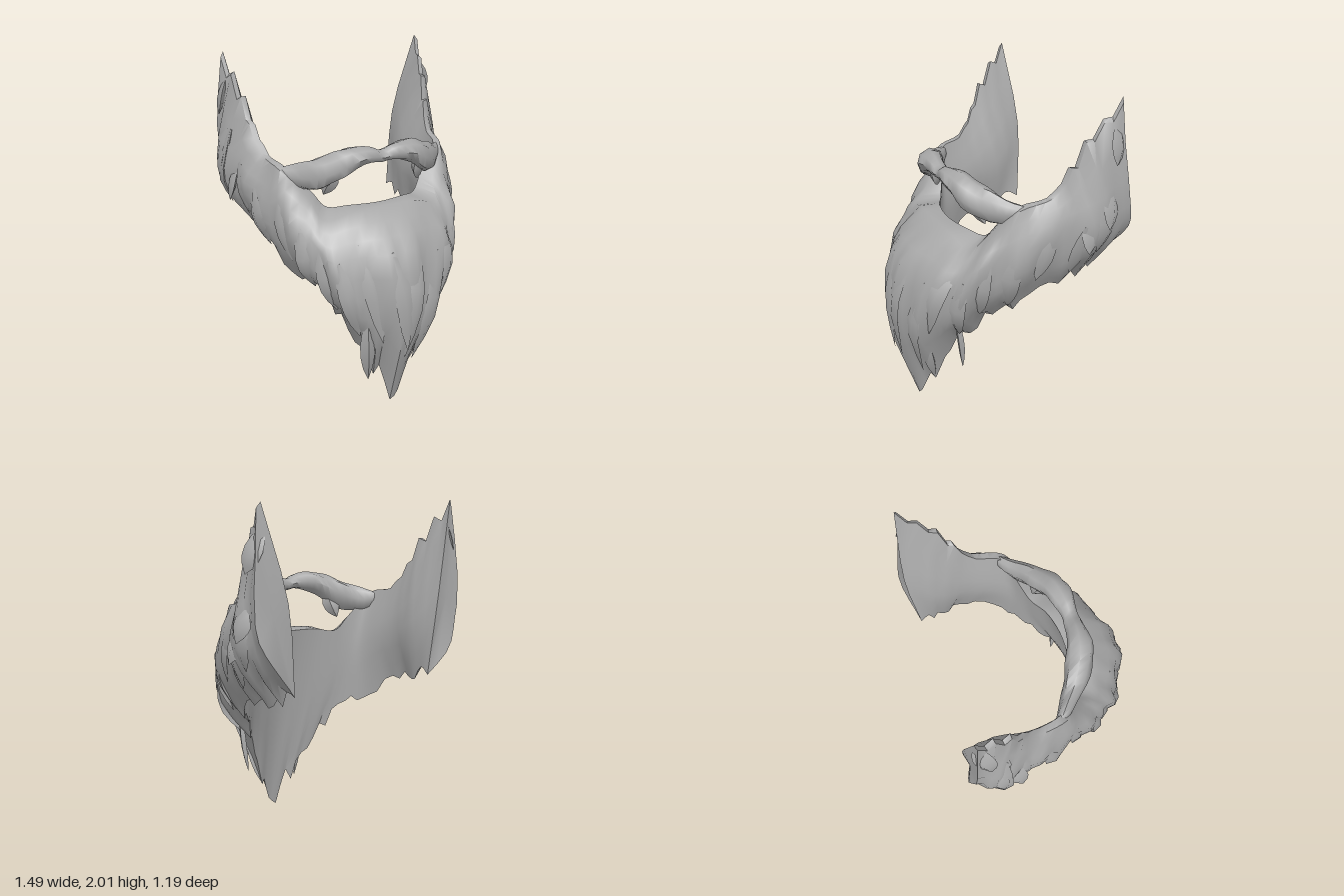
import * as THREE from 'three';
import { toCreasedNormals } from 'three/addons/utils/BufferGeometryUtils.js';

const V = (x, y, z) => new THREE.Vector3(x, y, z);
const hair = new THREE.MeshStandardMaterial({ color: 0xa8a8a8 });
hair.name = 'greyHair';

// Cross-sections from the chin to the ear, six points each:
// inner lip, outer lip, bulge, lower side, tip, inner wall
const stations = [
  [0, 1.2, .2, 0, 1.21, .29, 0, 1.01, .52, 0, .6, .58, 0, .01, .42, 0, .7, .3],
  [.18, 1.2, .17, .2, 1.2, .28, .23, 1.0, .46, .19, .6, .51, .12, .2, .35, .17, .75, .24],
  [.29, 1.19, .11, .36, 1.16, .24, .39, .98, .37, .34, .7, .39, .25, .5, .25, .29, .85, .15],
  [.36, 1.28, .07, .41, 1.27, .13, .48, 1.1, .25, .45, .85, .24, .36, .7, .1, .37, 1.0, .07],
  [.49, 1.43, 0, .53, 1.42, .02, .58, 1.2, .06, .56, 1.0, .05, .47, .8, -.03, .43, 1.1, 0],
  [.53, 1.47, -.15, .57, 1.48, -.17, .66, 1.32, -.2, .63, 1.1, -.22, .53, .93, -.26, .47, 1.2, -.2],
  [.58, 1.73, -.3, .61, 1.73, -.3, .72, 1.36, -.4, .66, 1.15, -.42, .5, .96, -.42, .46, 1.3, -.4],
  [.64, 2, -.5, .66, 1.97, -.49, .7, 1.4, -.55, .62, 1.2, -.58, .47, 1.04, -.54, .52, 1.5, -.56],
];

function seeded(seed) {
  return () => {
    seed = (seed * 16807) % 2147483647;
    return seed / 2147483647;
  };
}

// Closed skin over a row of rings, capped at both ends
function loft(rings, crease) {
  const n = rings[0].length, pts = rings.flat(), idx = [];
  rings.forEach((ring, i) => {
    if (i === rings.length - 1) return;
    for (let j = 0; j < n; j++) {
      const a = i * n + j, b = i * n + (j + 1) % n;
      idx.push(a, b, a + n, b, b + n, a + n);
    }
  });
  const cap = (start, flip) => {
    const mid = V(0, 0, 0);
    for (let j = 0; j < n; j++) mid.addScaledVector(pts[start + j], 1 / n);
    const c = pts.push(mid) - 1;
    for (let j = 0; j < n; j++) {
      const a = start + j, b = start + (j + 1) % n;
      if (flip) idx.push(c, b, a); else idx.push(c, a, b);
    }
  };
  cap(0, true);
  cap((rings.length - 1) * n, false);
  // Turn the skin outwards if its enclosed volume is negative
  let volume = 0;
  for (let k = 0; k < idx.length; k += 3)
    volume += pts[idx[k]].dot(pts[idx[k + 1]].clone().cross(pts[idx[k + 2]]));
  if (volume < 0) idx.reverse();
  const geo = new THREE.BufferGeometry().setFromPoints(pts);
  geo.setIndex(idx);
  return toCreasedNormals(geo, crease);
}

// Six rails running from the right ear round the chin to the left ear
const rails = [0, 1, 2, 3, 4, 5].map(k => {
  const half = stations.map(s => V(s[k * 3], s[k * 3 + 1], s[k * 3 + 2]));
  const mirrored = half.slice(1).reverse().map(p => V(-p.x, p.y, p.z));
  return new THREE.CatmullRomCurve3([...mirrored, ...half]);
});
const outward = p => V(p.x, 0, p.z + .25).normalize();

// Point on the hairy outside: t from ear to ear, v from lip to tip
function outside(t, v) {
  const c = new THREE.CatmullRomCurve3(rails.slice(1, 5).map(r => r.getPoint(t)));
  const p = c.getPoint(v);
  const sweep = v * 5 * Math.sign(t - .5);
  const ridge = .016 * Math.sin(t * 62 + sweep) + .01 * Math.sin(t * 117 - sweep * 1.4 + 1);
  return p.addScaledVector(outward(p), ridge * Math.sin(Math.PI * v));
}

function beardGeometry() {
  const rand = seeded(41), rings = [], N = 60, M = 9;
  for (let i = 0; i <= N; i++) {
    const t = i / N, side = Math.abs(t - .5) * 2;
    // Uneven bottom edge, with a clear notch on each side of the chin point
    const notch = Math.abs(side - .1) < .02 ? .1 : 0;
    const fray = i === N / 2 ? 0 : notch + .09 * rand() - .04;
    const lipFray = side > .72 && side < .99 ? (i % 2 ? -.06 : .03) * rand() : 0;
    const ring = [rails[0].getPoint(t)];
    ring[0].y += lipFray;
    for (let j = 0; j <= M; j++) {
      const p = outside(t, j / M);
      p.y += fray * Math.max(0, j / M - .6) / .4 + (j < 2 ? lipFray : 0);
      ring.push(p);
    }
    const inner = new THREE.CatmullRomCurve3([ring[M + 1], rails[5].getPoint(t), ring[0]]);
    for (let j = 1; j < 6; j++) ring.push(inner.getPoint(j / 6));
    rings.push(ring);
  }
  return loft(rings, 1);
}

// Tapered lock of hair along a few points
function lock(points, width, depth) {
  const curve = new THREE.CatmullRomCurve3(points), rings = [];
  for (let i = 0; i <= 5; i++) {
    const p = curve.getPoint(i / 5), out = outward(p);
    const side = curve.getTangent(i / 5).cross(out).normalize();
    const s = i === 5 ? .03 : Math.sin(Math.PI * (.1 + .85 * i / 5));
    rings.push([[1, 0], [0, 1], [-1, 0], [0, -1]].map(([a, b]) =>
      p.clone().addScaledVector(side, a * width * s).addScaledVector(out, b * depth * s)));
  }
  return loft(rings, 1);
}

// Moustache: centre x, y, z and half height, half depth
const whisker = [
  [0, 1.485, .235, .035, .045], [.07, 1.5, .235, .045, .055], [.18, 1.49, .22, .065, .075],
  [.27, 1.445, .185, .085, .085], [.36, 1.4, .13, .09, .075], [.45, 1.38, .05, .07, .055],
  [.53, 1.39, -.02, .035, .03],
];
function moustacheGeometry() {
  const rows = [...whisker.slice(1).reverse().map(([x, ...r]) => [-x, ...r]), ...whisker];
  const centre = new THREE.CatmullRomCurve3(rows.map(r => V(r[0], r[1], r[2])));
  const size = new THREE.CatmullRomCurve3(rows.map(r => V(r[3], r[4], 0)));
  const rings = [];
  for (let i = 0; i <= 32; i++) {
    const c = centre.getPoint(i / 32), s = size.getPoint(i / 32), ring = [];
    for (let j = 0; j < 8; j++) {
      const a = j / 8 * Math.PI * 2, k = 1 + .06 * Math.sin(i * 1.3 + j * 2);
      ring.push(V(c.x, c.y + Math.sin(a) * s.x * k, c.z + Math.cos(a) * s.y * k));
    }
    rings.push(ring);
  }
  return loft(rings, 1);
}

export function createModel() {
  const model = new THREE.Group();
  model.name = 'beard';
  const add = (name, geo) => {
    const mesh = new THREE.Mesh(geo, hair);
    mesh.name = name;
    model.add(mesh);
  };
  add('beardShell', beardGeometry());
  add('moustache', moustacheGeometry());

  // Broad flat locks lying on the beard and sideburns
  const rand = seeded(7);
  for (let i = 0; i < 18; i++) {
    const t = .06 + .88 * i / 17, side = Math.abs(t - .5) * 2;
    const v0 = .15 + .25 * rand(), v1 = v0 + .45 + .1 * rand();
    const lean = (t < .5 ? 1 : -1) * .025;
    const path = [0, .5, 1].map(k => {
      const p = outside(t + lean * k, v0 + (v1 - v0) * k);
      return p.addScaledVector(outward(p), -.01 + .02 * k);
    });
    add(side > .6 ? 'sideburnLock' : 'beardLock', lock(path, .055, .02));
  }

  for (const s of [-1, 1]) {
    // Frayed end under the moustache
    add('moustacheTuft', lock([V(s * .27, 1.42, .18), V(s * .285, 1.35, .15), V(s * .31, 1.27, .12)], .05, .035));
    // Shaggy tips on the outside of the sideburns
    for (const [y, x, z] of [[1.75, .675, -.47], [1.55, .66, -.4], [1.4, .71, -.43], [1.27, .69, -.32]])
      add('sideburnTuft', lock([V(s * (x - .05), y + .12, z - .02), V(s * x, y, z), V(s * (x + .03), y - .1, z + .02)], .06, .025));
  }

  // Long stray points at the bottom
  add('strayLock', lock([V(.3, .72, .3), V(.3, .52, .27), V(.28, .33, .25)], .025, .02));
  add('strayLock', lock([V(-.2, .6, .45), V(-.19, .38, .43), V(-.17, .17, .4)], .045, .035));
  add('strayLock', lock([V(.15, .55, .45), V(.13, .38, .41), V(.11, .18, .36)], .06, .04));
  return model;
}
